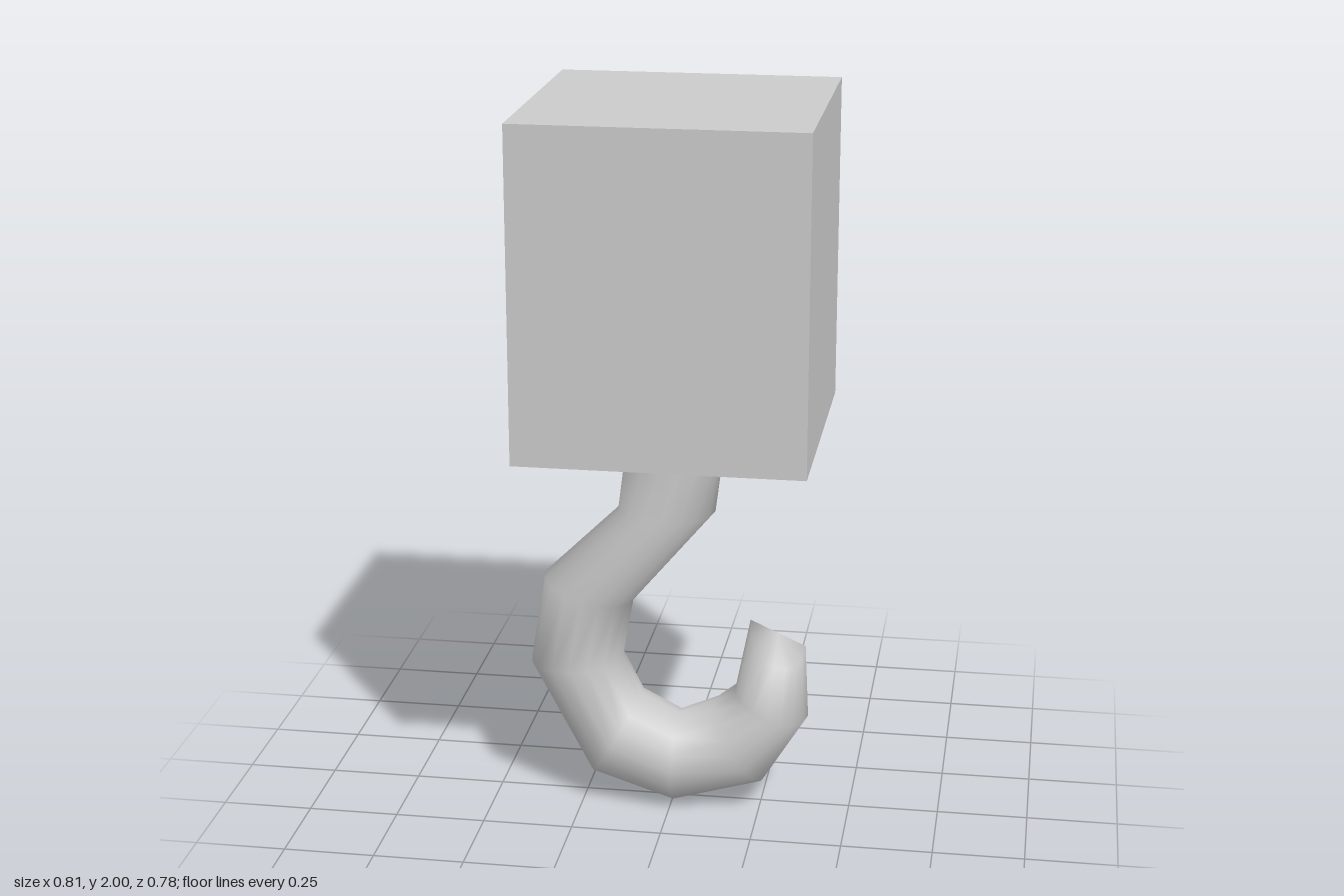
import * as THREE from 'three';

const SIDES = 16;

// Smooth tube made of oval rings; each station is [outerX, outerY, innerX, innerY, halfDepth, droop]
function ringTube(stations) {
  const pos = [], index = [];
  for (const [ox, oy, ix, iy, depth, droop] of stations) {
    for (let j = 0; j < SIDES; j++) {
      const a = (j / SIDES) * Math.PI * 2;
      const t = (1 + Math.cos(a)) / 2, s = Math.sin(a);
      pos.push(ix + (ox - ix) * t, iy + (oy - iy) * t - droop * Math.abs(s), depth * s);
    }
  }
  for (let i = 0; i < stations.length - 1; i++) {
    for (let j = 0; j < SIDES; j++) {
      const k = (j + 1) % SIDES;
      const a = i * SIDES + j, b = i * SIDES + k;
      index.push(a, a + SIDES, b, b, a + SIDES, b + SIDES);
    }
  }
  // Ridged cap on the tip
  const [ox, oy, ix, iy] = stations[stations.length - 1];
  const centre = pos.length / 3, last = centre - SIDES;
  pos.push((ox + ix) / 2, (oy + iy) / 2, 0);
  for (let j = 0; j < SIDES; j++) index.push(centre, last + ((j + 1) % SIDES), last + j);

  const geo = new THREE.BufferGeometry();
  geo.setAttribute('position', new THREE.Float32BufferAttribute(pos, 3));
  geo.setIndex(index);
  geo.computeVertexNormals();
  return geo;
}

export function createModel() {
  const group = new THREE.Group();
  const grey = new THREE.MeshStandardMaterial({ color: 0xcccccc });

  // Block the hook hangs from
  const block = new THREE.Mesh(new THREE.BoxGeometry(0.776, 0.9, 0.776), grey);
  block.name = 'block';
  block.position.set(0.015, 1.55, 0);
  group.add(block);

  // Hook, from the shank down around the bend to the tip
  const D = 0.135;
  const hook = new THREE.Mesh(ringTube([
    [-0.125, 1.10, 0.145, 1.10, D, 0],
    [-0.155, 0.865, 0.115, 0.865, D, 0],
    [-0.365, 0.66, -0.115, 0.59, D, 0],
    [-0.405, 0.405, -0.145, 0.42, D, 0],
    [-0.23, 0.075, -0.09, 0.31, D, 0],
    [0.005, 0.0, 0.015, 0.255, D, 0],
    [0.26, 0.075, 0.115, 0.30, D, 0],
    [0.38, 0.27, 0.175, 0.345, D, 0],
    [0.37, 0.48, 0.215, 0.55, 0.1, 0.065],
  ]), grey);
  hook.name = 'hook';
  group.add(hook);

  return group;
}
